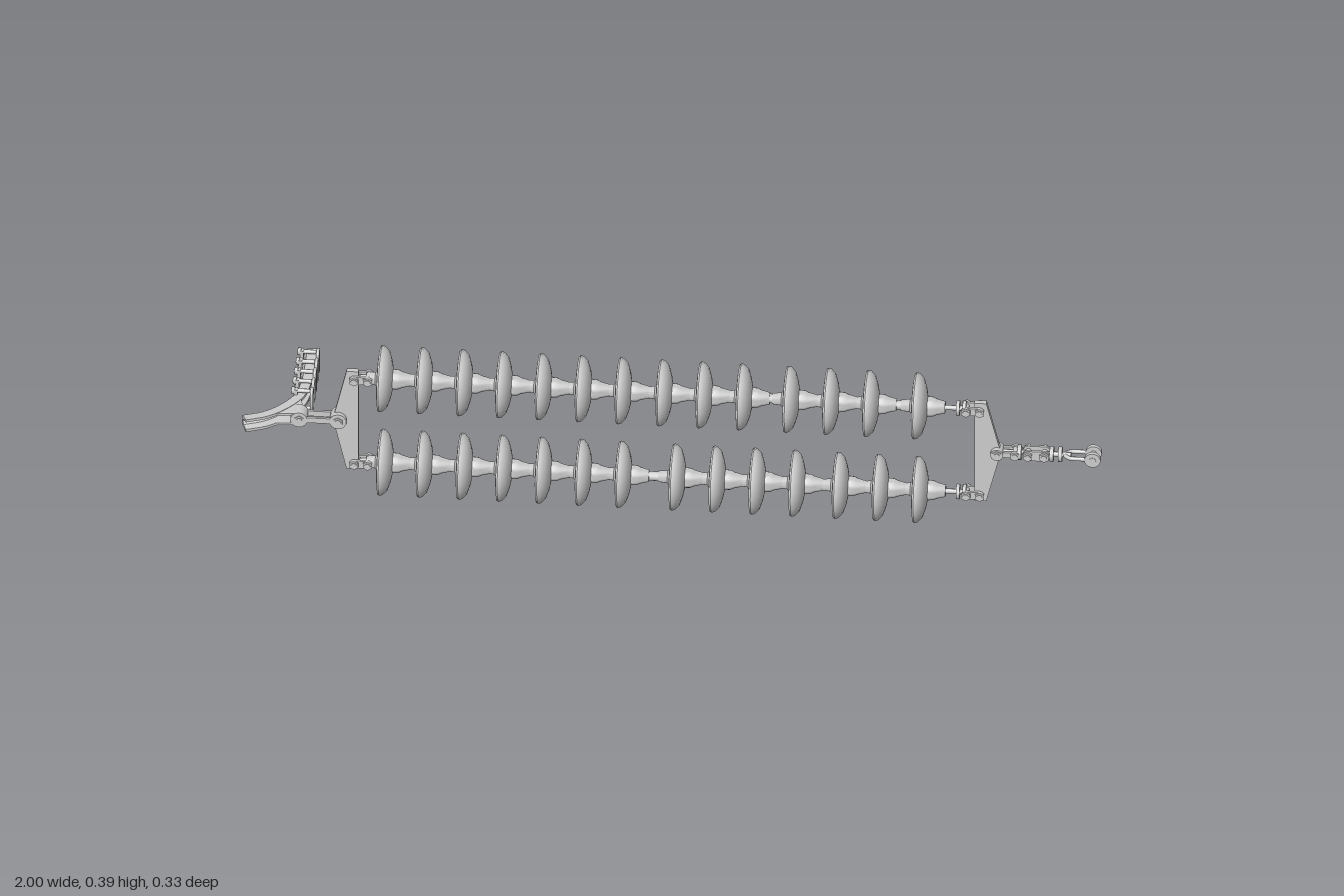
import * as THREE from 'three';
import { toCreasedNormals } from 'three/addons/utils/BufferGeometryUtils.js';

const material = new THREE.MeshStandardMaterial({ color: 0xcccccc, side: THREE.DoubleSide });
const Z = 0.088;           // plane of the two insulator strings
const MID = 0.197;         // height of the tension axis
const ROWS = [0.313, 0.078];

function add(parent, name, geometry, x = 0, y = 0, z = 0) {
  const mesh = new THREE.Mesh(geometry, material);
  mesh.name = name;
  mesh.position.set(x, y, z);
  parent.add(mesh);
  return mesh;
}

// Cylinder along x or z
function rod(parent, name, axis, r, length, x, y, z, sides = 12) {
  const g = new THREE.CylinderGeometry(r, r, length, sides);
  if (axis === 'x') g.rotateZ(-Math.PI / 2);
  else g.rotateX(Math.PI / 2);
  return add(parent, name, g, x, y, z);
}

// Bolt across z with a hexagonal head and nut
function bolt(parent, x, y) {
  rod(parent, 'boltShank', 'z', 0.007, 0.044, x, y, Z);
  for (const s of [-1, 1]) rod(parent, 'boltHead', 'z', 0.012, 0.008, x, y, Z + s * 0.016, 6);
}

// Two cheeks with rounded ends joined by bolts
function clevis(parent, x0, x1, y, gap, h) {
  const shape = new THREE.Shape();
  shape.absarc(x1, 0, h, -Math.PI / 2, Math.PI / 2);
  shape.absarc(x0, 0, h, Math.PI / 2, Math.PI * 1.5);
  const g = new THREE.ExtrudeGeometry(shape, { depth: 0.006, bevelEnabled: false, curveSegments: 8 });
  for (const s of [-1, 1]) add(parent, 'clevisCheek', g, 0, y, Z + s * gap - 0.003);
  bolt(parent, x0, y);
  bolt(parent, x1, y);
}

// Pin, ribbed underside (-x), smooth shed and cap (+x) in one profile
function insulatorGeometry() {
  const profile = [
    [0, -0.045], [0.013, -0.045], [0.015, -0.024], [0.021, -0.020], [0.028, -0.018], [0.037, -0.002],
    [0.042, -0.018], [0.046, -0.018], [0.052, -0.002], [0.057, -0.017], [0.061, -0.017], [0.066, -0.004],
    [0.071, -0.010], [0.076, -0.015], [0.078, -0.011], [0.076, -0.004], [0.066, 0.006], [0.045, 0.013],
    [0.024, 0.017], [0.023, 0.030], [0.019, 0.038], [0.014, 0.058], [0, 0.058],
  ].map(([r, a]) => new THREE.Vector2(r, a));
  const g = new THREE.LatheGeometry(profile, 20);
  g.rotateZ(-Math.PI / 2);
  return toCreasedNormals(g, Math.PI / 5);
}

// Triangular plate; side = -1 points its apex to -x
function yoke(parent, side, edge, apex) {
  const shape = new THREE.Shape();
  const w = side * 0.028;
  [[edge, 0.06], [edge + w, 0.06], [apex, MID - 0.02], [apex + side * 0.008, MID], [apex, MID + 0.02],
    [edge + w, 0.333], [edge, 0.333]].forEach(([x, y], i) => (i ? shape.lineTo(x, y) : shape.moveTo(x, y)));
  const g = new THREE.ExtrudeGeometry(shape, { depth: 0.013, bevelEnabled: false });
  add(parent, side < 0 ? 'rightYoke' : 'leftYoke', g, 0, 0, Z - 0.0065);
}

// Trough, cheeks and U-bolts of the clamp at the -x end
function clamp(parent) {
  const group = new THREE.Group();
  group.name = 'strainClamp';
  parent.add(group);

  const path = new THREE.CatmullRomCurve3([
    [-0.992, 0.126], [-0.945, 0.107], [-0.905, 0.072], [-0.876, 0.028], [-0.864, -0.03], [-0.862, -0.165],
  ].map(([x, z]) => new THREE.Vector3(x, MID, z)));

  // U section swept along the path, opening to the outside of the bend
  const section = new THREE.Shape([
    [-0.016, 0.017], [-0.016, 0.010], [0.002, 0.008], [0.007, 0], [0.002, -0.008],
    [-0.016, -0.010], [-0.016, -0.017], [0.008, -0.015], [0.015, 0], [0.008, 0.015],
  ].map(([n, y]) => new THREE.Vector2(n, y)));
  const g = new THREE.ExtrudeGeometry(section, { depth: 1, steps: 28, bevelEnabled: false });
  const pos = g.attributes.position;
  for (let i = 0; i < pos.count; i++) {
    const u = Math.min(1, Math.max(0, pos.getZ(i)));
    const p = path.getPointAt(u), t = path.getTangentAt(u), n = pos.getX(i);
    pos.setXYZ(i, p.x + n * t.z, p.y + pos.getY(i), p.z - n * t.x);
  }
  g.computeVertexNormals();
  add(group, 'trough', toCreasedNormals(g, Math.PI / 5));

  // Cheeks joining the trough to the link
  const cheek = new THREE.Shape([[-0.95, 0.112], [-0.905, 0.08], [-0.872, 0.02], [-0.858, 0.075],
    [-0.855, 0.1], [-0.885, 0.104]].map(([x, z]) => new THREE.Vector2(x, -z)));
  const cheekG = new THREE.ExtrudeGeometry(cheek, { depth: 0.006, bevelEnabled: false });
  cheekG.rotateX(-Math.PI / 2);
  for (const s of [-1, 1]) add(group, 'cheek', cheekG, 0, MID + s * 0.013 - 0.003, 0);

  // Oval loop over the trough, with legs and nuts behind it
  const loop = new THREE.TorusGeometry(0.0115, 0.004, 8, 20);
  const lp = loop.attributes.position;
  for (let i = 0; i < lp.count; i++) lp.setY(i, lp.getY(i) + Math.sign(Math.round(lp.getY(i) * 1e5)) * 0.0175);
  loop.rotateY(Math.PI / 2);
  for (let i = 0; i < 5; i++) {
    const z = 0.02 - i * 0.04;
    add(group, 'saddleLoop', loop, -0.843, MID, z);
    add(group, 'saddleBar', new THREE.BoxGeometry(0.008, 0.058, 0.014), -0.88, MID, z);
    for (const s of [-1, 1]) {
      rod(group, 'saddleLeg', 'x', 0.005, 0.05, -0.866, MID + s * 0.024, z, 8);
      rod(group, 'saddleNut', 'x', 0.009, 0.008, -0.886, MID + s * 0.024, z, 6);
    }
  }
}

export function createModel() {
  const model = new THREE.Group();
  model.name = 'doubleInsulatorString';

  // Insulator strings
  const disc = insulatorGeometry();
  const shared = [-0.665, -0.573, -0.48, -0.388, -0.296, -0.203, -0.11];
  const discX = [
    [...shared, -0.015, 0.078, 0.171, 0.28, 0.373, 0.466, 0.579],
    [...shared, 0.015, 0.108, 0.201, 0.294, 0.395, 0.488, 0.58],
  ];
  ROWS.forEach((y, row) => {
    const string = new THREE.Group();
    string.name = row ? 'lowerString' : 'upperString';
    model.add(string);
    for (const x of discX[row]) add(string, 'insulator', disc, x, y, Z);
    rod(string, 'core', 'x', 0.011, 1.29, -0.045, y, Z);
    // End fittings to both yokes
    rod(string, 'endRod', 'x', 0.006, 0.06, 0.655, y, Z, 8);
    for (const x of [0.667, 0.682]) rod(string, 'collar', 'x', 0.018, 0.008, x, y, Z);
    clevis(string, 0.686, 0.718, y, 0.012, 0.01);
    rod(string, 'startRod', 'x', 0.008, 0.04, -0.705, y, Z, 8);
    clevis(string, -0.738, -0.706, y, 0.012, 0.01);
  });

  yoke(model, -1, -0.728, -0.783);
  yoke(model, 1, 0.705, 0.762);

  // Link from the yoke to the clamp
  const rightLink = new THREE.Group();
  rightLink.name = 'rightLink';
  model.add(rightLink);
  clevis(rightLink, -0.865, -0.775, MID, 0.014, 0.007);
  rod(rightLink, 'linkBoss', 'z', 0.02, 0.036, -0.775, MID, Z, 14);
  rod(rightLink, 'clampBoss', 'z', 0.02, 0.036, -0.866, MID, Z, 14);
  clamp(model);

  // Link chain ending in a U shackle
  const leftLink = new THREE.Group();
  leftLink.name = 'leftLink';
  model.add(leftLink);
  rod(leftLink, 'chainRod', 'x', 0.006, 0.17, 0.845, MID, Z, 8);
  rod(leftLink, 'linkBoss', 'z', 0.015, 0.036, 0.758, MID, Z, 14);
  clevis(leftLink, 0.758, 0.8, MID, 0.012, 0.007);
  clevis(leftLink, 0.83, 0.868, MID, 0.011, 0.013);
  for (const x of [0.81, 0.885, 0.905]) rod(leftLink, 'collar', 'x', 0.018, 0.009, x, MID, Z);
  const u = new THREE.CurvePath();
  const v = (x, z) => new THREE.Vector3(x, MID, Z + z);
  u.add(new THREE.LineCurve3(v(0.985, -0.015), v(0.93, -0.015)));
  u.add(new THREE.QuadraticBezierCurve3(v(0.93, -0.015), v(0.9, 0), v(0.93, 0.015)));
  u.add(new THREE.LineCurve3(v(0.93, 0.015), v(0.985, 0.015)));
  add(leftLink, 'shackle', new THREE.TubeGeometry(u, 30, 0.005, 8));
  for (const s of [-1, 1]) rod(leftLink, 'shackleEye', 'z', 0.019, 0.01, 0.981, MID, Z + s * 0.015, 16);
  rod(leftLink, 'shacklePin', 'z', 0.008, 0.042, 0.981, MID, Z);

  return model;
}
